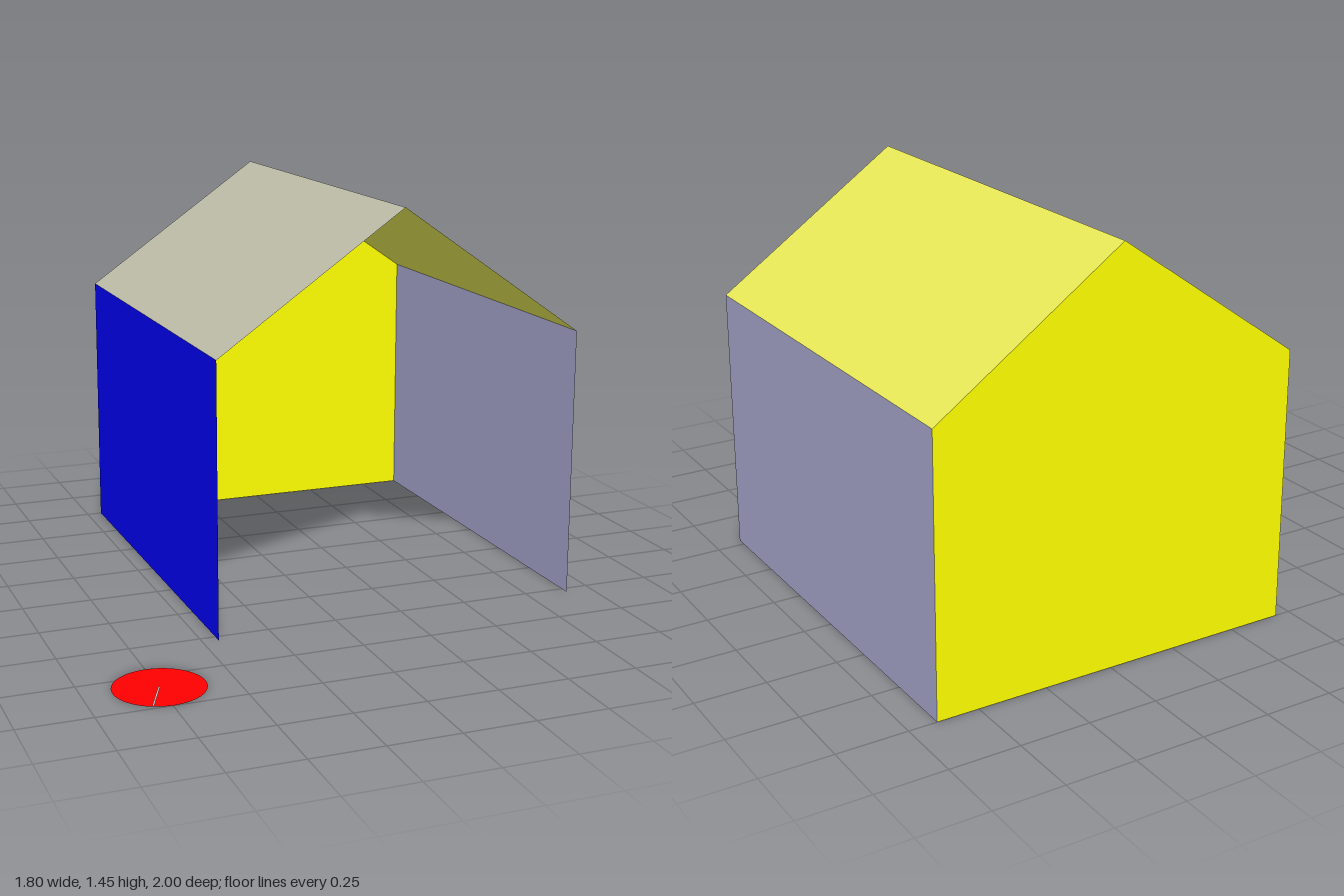
import * as THREE from 'three';

const LEFT = -0.444, RIGHT = 0.9, RIDGE_X = 0.228;
const EAVE = 0.975, RIDGE = 1.445, FRONT = 0.537, BACK = -1;

function addPart(group, name, geometry, color) {
  const material = new THREE.MeshStandardMaterial({ color, side: THREE.DoubleSide, flatShading: true });
  const mesh = new THREE.Mesh(geometry, material);
  mesh.name = name;
  group.add(mesh);
  return mesh;
}

// Flat panel: the line from a to b (x, y) stretched from the front to the back
function panel([ax, ay], [bx, by]) {
  const geometry = new THREE.PlaneGeometry(1, 1);
  const p = geometry.attributes.position;
  for (let i = 0; i < p.count; i++) {
    const t = p.getY(i) + 0.5, s = p.getX(i) + 0.5;
    p.setXYZ(i, ax + (bx - ax) * t, ay + (by - ay) * t, FRONT + (BACK - FRONT) * s);
  }
  geometry.computeVertexNormals();
  return geometry;
}

export function createModel() {
  const model = new THREE.Group();
  model.name = 'openHouse';

  // Outline of the gable, from one foot over the ridge to the other
  const outline = [[RIGHT, 0], [RIGHT, EAVE], [RIDGE_X, RIDGE], [LEFT, EAVE], [LEFT, 0]];

  // Side walls and roof slopes; the front stays open and there is no floor
  const panels = [
    ['leftWall', 0xa9a9d0], ['leftRoof', 0xebeb59],
    ['rightRoof', 0xbfbfab], ['rightWall', 0x0000ff],
  ];
  panels.forEach(([name, color], i) =>
    addPart(model, name, panel(outline[i], outline[i + 1]), color));

  // Gabled back wall
  const gable = new THREE.Shape(outline.map(([x, y]) => new THREE.Vector2(x, y)));
  addPart(model, 'backWall', new THREE.ShapeGeometry(gable), 0xffff00).position.z = BACK;

  // Round mat on the ground with a thin pale radial line
  const mat = new THREE.Group();
  mat.name = 'groundMat';
  mat.position.set(-0.748, 0, 0.845);
  const disc = new THREE.CircleGeometry(0.154, 64).rotateX(-Math.PI / 2);
  addPart(mat, 'matDisc', disc, 0xff0000);
  const line = new THREE.PlaneGeometry(0.006, 0.15).rotateX(-Math.PI / 2).translate(0, 0.002, 0.075);
  addPart(mat, 'matLine', line, 0xcccccc).rotation.y = -0.42;
  model.add(mat);

  return model;
}
